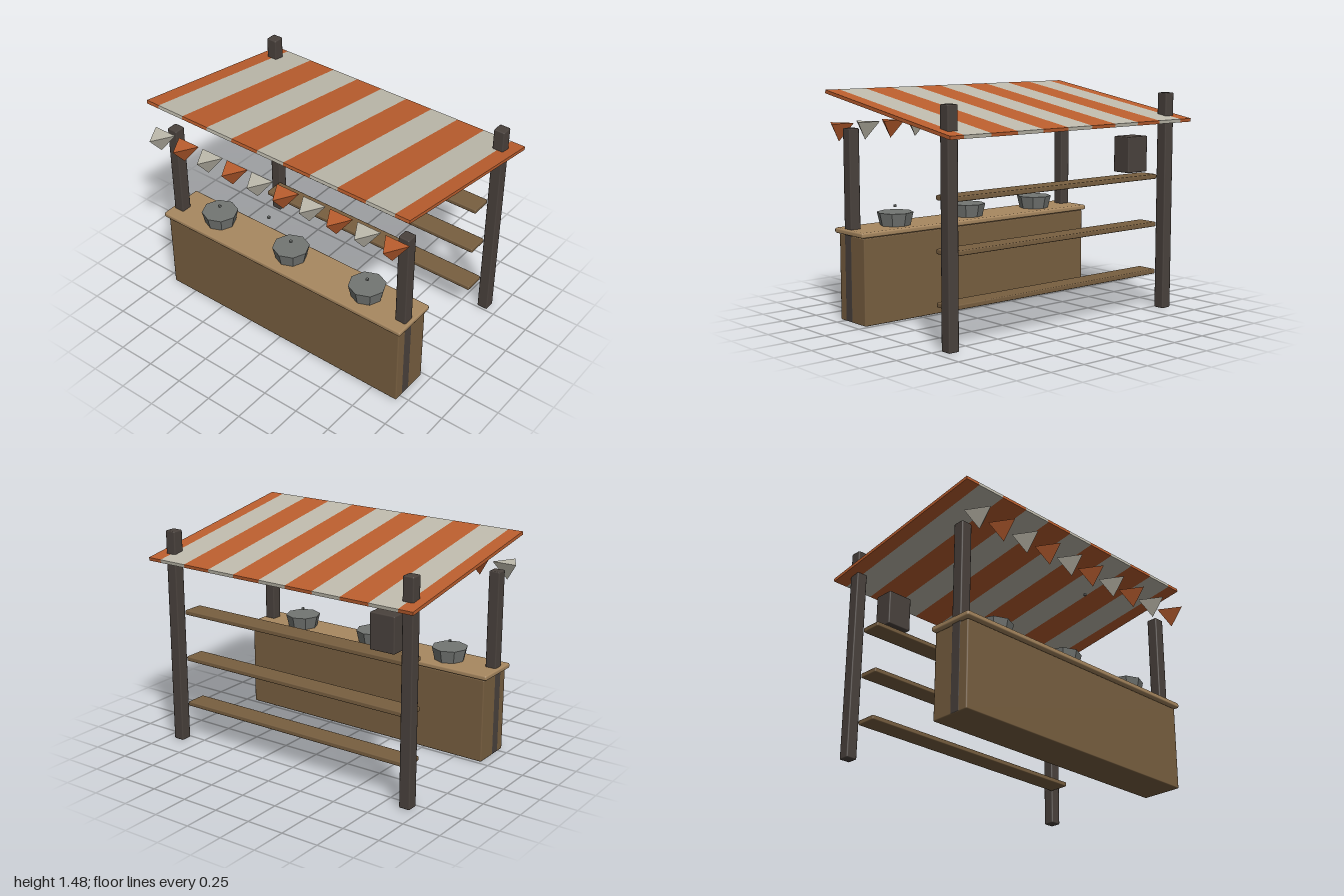
import * as THREE from 'three';
import { RoundedBoxGeometry } from 'three/addons/geometries/RoundedBoxGeometry.js';

const material = (name, color, flatShading = false) => {
  const m = new THREE.MeshStandardMaterial({ color, flatShading });
  m.name = name;
  return m;
};

export function createModel() {
  const model = new THREE.Group();
  model.name = 'marketStall';

  const darkWood = material('darkWood', 0x4a423d);
  const wood = material('wood', 0x785f40);
  const lightWood = material('lightWood', 0xa88860);
  const orange = material('orangeCloth', 0xbb5e2e, true);
  const cream = material('creamCloth', 0xbfbbad, true);
  const metal = material('metal', 0x737673, true);

  const add = (name, geometry, mat, x, y, z, parent = model) => {
    const mesh = new THREE.Mesh(geometry, mat);
    mesh.name = name;
    mesh.position.set(x, y, z);
    parent.add(mesh);
    return mesh;
  };

  // Box with softened edges, given by its extents
  const block = (name, mat, [x0, x1], [y0, y1], [z0, z1], r = 0.008) =>
    add(name, new RoundedBoxGeometry(x1 - x0, y1 - y0, z1 - z0, 1, r), mat,
      (x0 + x1) / 2, (y0 + y1) / 2, (z0 + z1) / 2);

  // Counter
  block('counterBody', wood, [-0.938, 0.938], [0, 0.562], [0.27, 0.548]);
  block('counterTop', lightWood, [-0.96, 0.96], [0.565, 0.6], [0.255, 0.572], 0.012);

  // Posts, the front pair just showing through the counter ends
  for (const s of [-1, 1]) {
    const x = [s * 0.902 - 0.0375, s * 0.902 + 0.0375];
    block('frontPost', darkWood, x, [0.002, 1.24], [0.412, 0.488]);
    block('backPost', darkWood, x, [0, 1.44], [-0.588, -0.512]);
  }

  // Shelves between the back posts, and the box standing on the top one
  for (const y of [0.228, 0.548, 0.868]) {
    block('shelf', wood, [-0.866, 0.866], [y, y + 0.032], [-0.517, -0.373]);
  }
  block('storageBox', darkWood, [-0.77, -0.595], [0.925, 1.16], [-0.517, -0.382]);

  // Bowls, each with a small bead above
  const bowl = new THREE.CylinderGeometry(0.12, 0.1, 0.085, 8);
  const bead = new THREE.BoxGeometry(0.015, 0.015, 0.015);
  for (const x of [-0.6, 0, 0.6]) {
    add('bowl', bowl, metal, x, 0.6425, 0.41);
    add('bead', bead, metal, x, 0.724, 0.41);
  }
  add('hangingBead', bead, metal, 0, 1.042, 0.612);

  // Sloping striped awning
  const awning = new THREE.Group();
  awning.name = 'awning';
  awning.position.set(0, 1.364, -0.05);
  awning.rotation.x = -0.16;
  model.add(awning);
  for (let i = 0; i <= 10; i++) {
    const x0 = Math.max(-1, -1.1 + i * 0.2);
    const x1 = Math.min(1, -0.9 + i * 0.2);
    add('awningStripe', new THREE.BoxGeometry(x1 - x0, 0.022, 1.285),
      i % 2 ? cream : orange, (x0 + x1) / 2, 0, 0, awning);
  }

  // Row of three-sided pennants, points down
  const pennant = new THREE.ConeGeometry(0.097, 0.117, 3).rotateZ(Math.PI);
  for (let i = 0; i < 10; i++) {
    add('pennant', pennant, i % 2 ? orange : cream, -0.9 + i * 0.2, 1.2035, 0.593);
  }

  return model;
}
